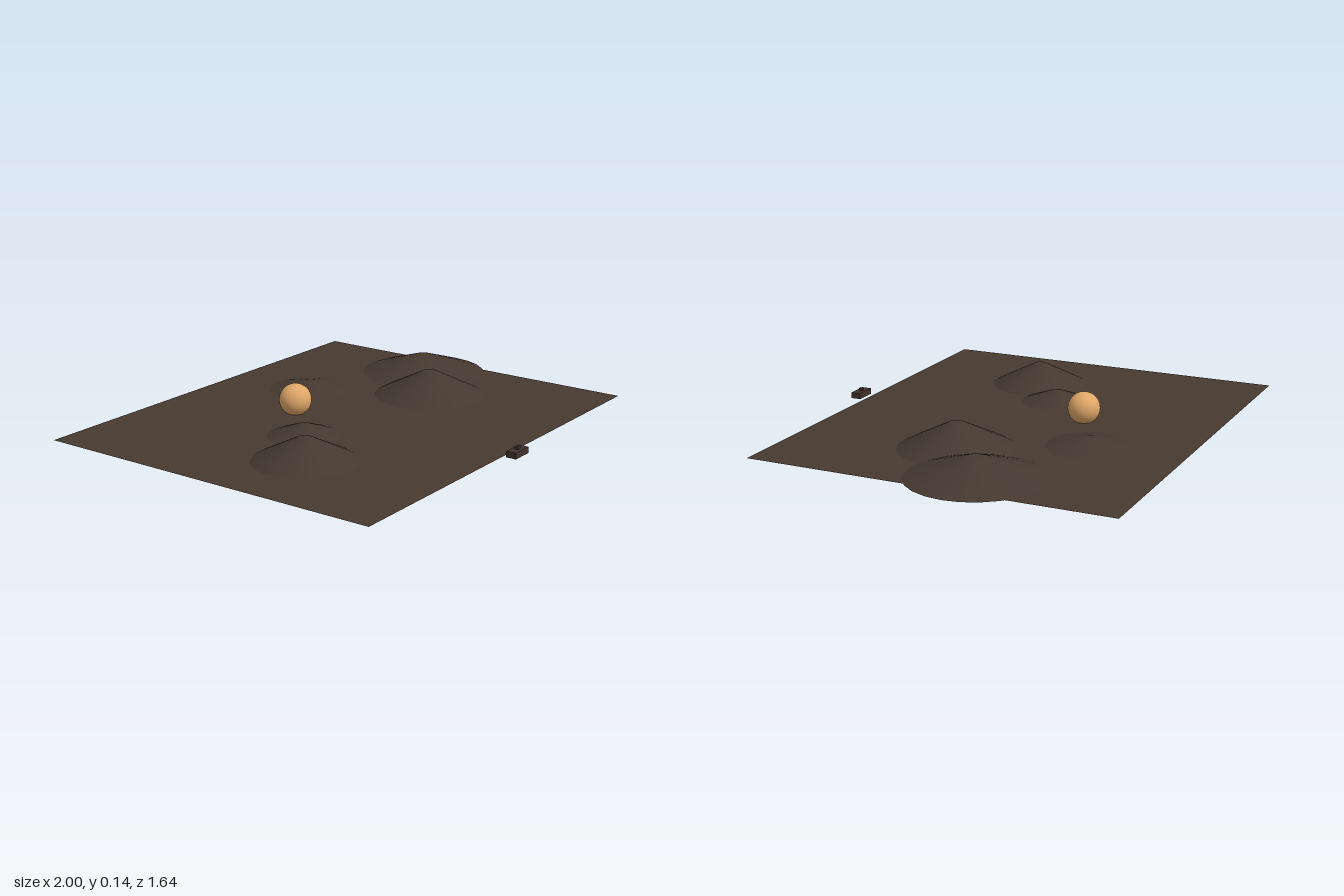
import * as THREE from 'three';

export function createModel() {
  const model = new THREE.Group();
  const soil = new THREE.MeshStandardMaterial({ name: 'soil brown', color: 0x47392f, side: THREE.DoubleSide });
  const dune = new THREE.MeshStandardMaterial({ name: 'dune brown', color: 0x45382f });
  const amber = new THREE.MeshStandardMaterial({ name: 'amber', color: 0xdfa768 });
  const umber = new THREE.MeshStandardMaterial({ name: 'dark umber', color: 0x41332d });
  const groundY = 0.012;

  const add = (name, geometry, material, x, y, z) => {
    const mesh = new THREE.Mesh(geometry, material);
    mesh.name = name;
    mesh.position.set(x, y, z);
    model.add(mesh);
    return mesh;
  };

  // Flat ground sheet
  add('ground', new THREE.PlaneGeometry(1.9, 1.58).rotateX(-Math.PI / 2), soil, -0.05, groundY, -0.03);

  // Low mounds with small flat tops: x, z, radius, height, top radius
  const mounds = [
    [-0.59, 0.157, 0.217, 0.096, 0.028],
    [-0.352, -0.032, 0.155, 0.05, 0.022],
    [0.178, -0.413, 0.185, 0.038, 0.025],
    [0.428, 0.067, 0.247, 0.108, 0.032],
    [0.715, -0.16, 0.283, 0.082, 0.035],
  ];
  mounds.forEach(([x, z, radius, height, top], i) => {
    add('mound' + (i + 1), new THREE.CylinderGeometry(top, radius, height, 24), dune, x, groundY + height / 2, z);
  });

  // Ball sunk slightly through the ground
  add('ball', new THREE.SphereGeometry(0.07, 32, 24), amber, -0.13, 0.07, -0.255);

  // Small block with a knob, beyond the front edge
  add('block', new THREE.BoxGeometry(0.096, 0.026, 0.045), umber, -0.05, 0.026, 0.799);
  add('knob', new THREE.BoxGeometry(0.016, 0.013, 0.016), umber, -0.05, 0.0445, 0.799);

  return model;
}
